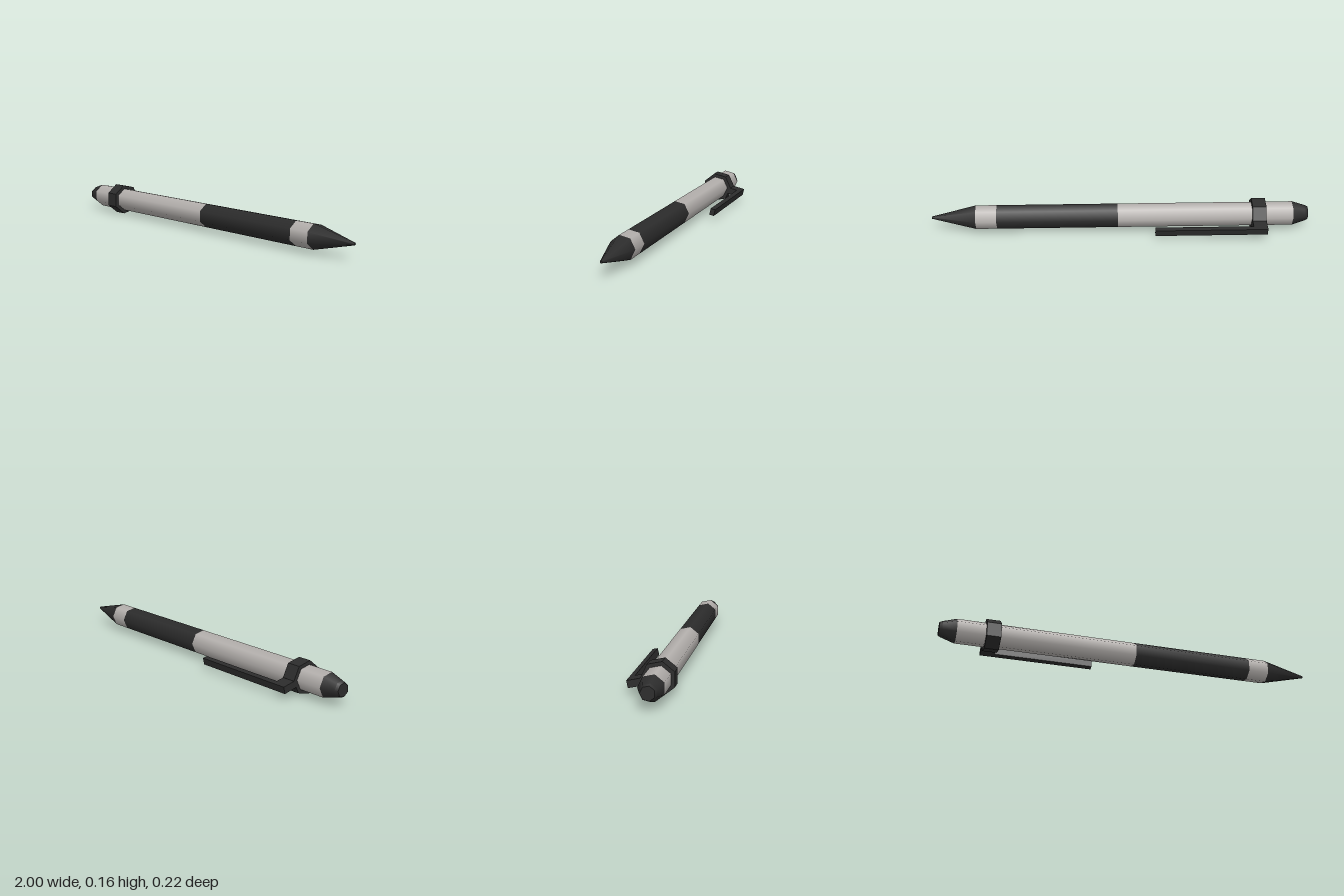
import * as THREE from 'three';

const SIDES = 7;

export function createModel() {
  const metal = new THREE.MeshStandardMaterial({ color: 0xb5b1ae });
  metal.name = 'lightGrey';
  const black = new THREE.MeshStandardMaterial({ color: 0x2c2c2c });
  black.name = 'charcoal';

  const pen = new THREE.Group();
  pen.name = 'pen';

  // Everything is placed around the barrel's axis, which runs along x
  const axis = new THREE.Group();
  axis.name = 'penBody';
  axis.position.set(0, 0.083, 0.037);
  pen.add(axis);

  // Seven-sided section from x0 (radius r0) to x1 (radius r1), one edge facing -z
  function section(name, x0, x1, r0, r1, material, flat = false) {
    let geo = new THREE.CylinderGeometry(r1, r0, x1 - x0, SIDES, 1, false, Math.PI);
    geo.rotateZ(-Math.PI / 2);
    geo.translate((x0 + x1) / 2, 0, 0);
    if (flat) {
      geo = geo.toNonIndexed();
      geo.computeVertexNormals();
    }
    const mesh = new THREE.Mesh(geo, material);
    mesh.name = name;
    axis.add(mesh);
  }

  section('endCapTip', -1, -0.985, 0.035, 0.042, black);
  section('endCap', -0.985, -0.915, 0.042, 0.064, black);
  section('barrel', -0.915, 0.015, 0.064, 0.064, metal);
  section('grip', 0.015, 0.655, 0.064, 0.064, black);
  section('collar', 0.655, 0.765, 0.064, 0.064, metal);
  section('tip', 0.765, 1, 0.064, 0.006, black);
  section('clipRing', -0.77, -0.697, 0.084, 0.084, black, true);

  // Clip: a short arm out of the ring and a long bar beside the barrel
  const clip = new THREE.Group();
  clip.name = 'clip';
  clip.rotation.x = -Math.PI / 14;
  axis.add(clip);

  function clipBox(name, x0, x1, near, far) {
    const mesh = new THREE.Mesh(new THREE.BoxGeometry(x1 - x0, 0.036, far - near), black);
    mesh.position.set((x0 + x1) / 2, 0, -(near + far) / 2);
    mesh.name = name;
    clip.add(mesh);
  }
  clipBox('clipArm', -0.77, -0.697, 0.06, 0.148);
  clipBox('clipBar', -0.697, -0.18, 0.122, 0.148);

  return pen;
}
